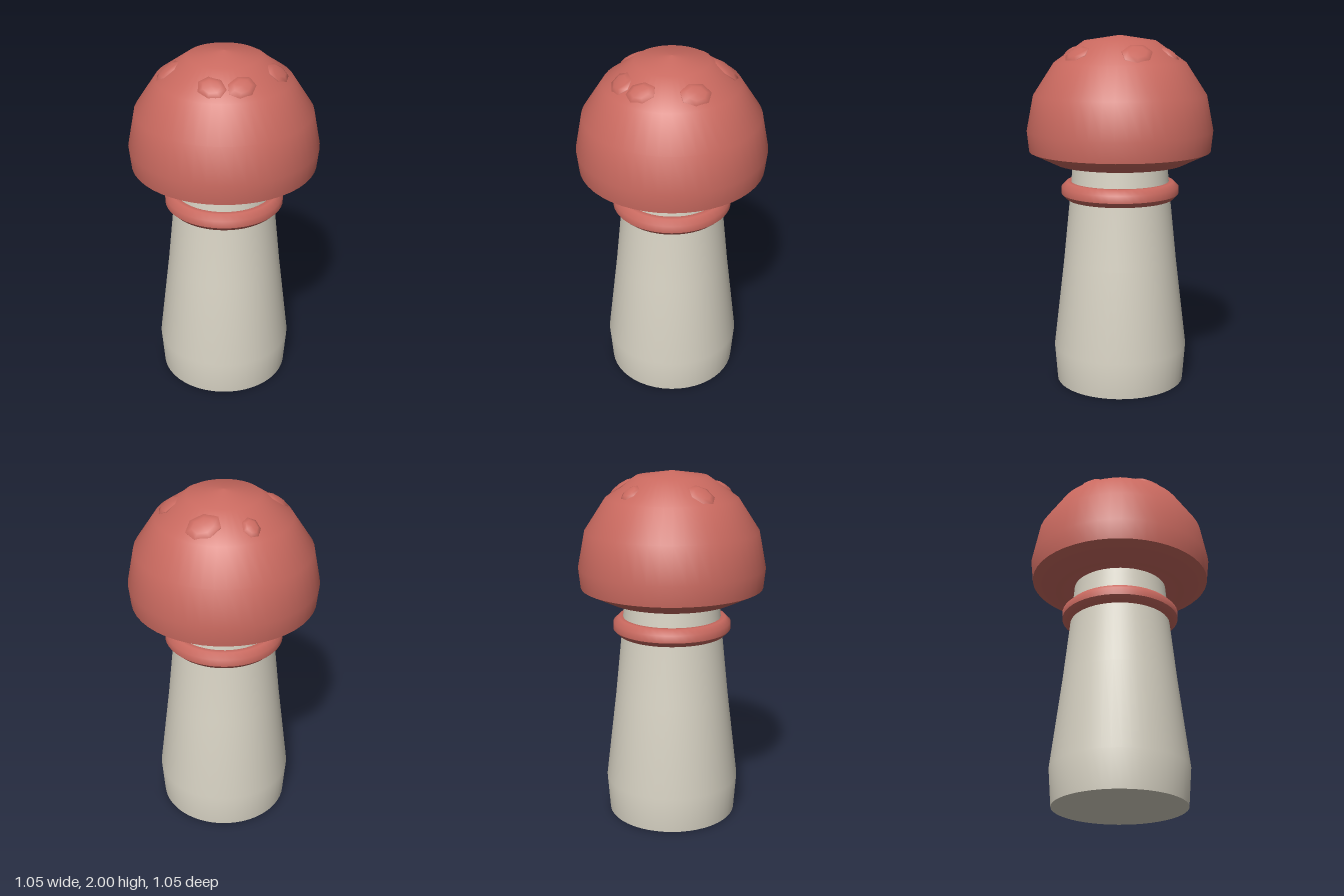
import * as THREE from 'three';

const SEGMENTS = 48;

// Profile points run from bottom to top as [radius, height]
function lathe(name, profile, material) {
  const points = profile.map(([r, y]) => new THREE.Vector2(r, y));
  const mesh = new THREE.Mesh(new THREE.LatheGeometry(points, SEGMENTS), material);
  mesh.name = name;
  return mesh;
}

export function createModel() {
  const model = new THREE.Group();
  model.name = 'mushroom';

  const red = new THREE.MeshStandardMaterial({ color: 0xc9695f });
  red.name = 'cap red';
  const cream = new THREE.MeshStandardMaterial({ color: 0xd8d3c4 });
  cream.name = 'stem cream';

  // Stem, swelling near the foot and narrowing into the cap
  model.add(lathe('stem', [
    [0.37, 0], [0.386, 0.21], [0.325, 0.72], [0.288, 1.08], [0.27, 1.28], [0.26, 1.4],
  ], cream));
  const foot = new THREE.Mesh(new THREE.CircleGeometry(0.37, SEGMENTS), cream);
  foot.name = 'stemFoot';
  foot.rotation.x = Math.PI / 2;
  model.add(foot);

  // Ring around the stem: an octagonal tube with a flat top
  const tube = [];
  for (let i = 0; i <= 8; i++) {
    const a = ((i - 0.5) / 8) * Math.PI * 2;
    tube.push([0.284 + 0.055 * Math.cos(a), 1.13 + 0.054 * Math.sin(a)]);
  }
  model.add(lathe('stemRing', tube, red));

  // Cap dome and its underside, split to keep the rim sharp
  const dome = [
    [0.515, 1.355], [0.527, 1.47], [0.488, 1.67], [0.37, 1.85], [0.2, 1.97], [0, 2],
  ];
  model.add(lathe('capDome', dome, red));
  model.add(lathe('capUnderside', [[0.25, 1.315], [0.37, 1.285], [0.515, 1.355]], red));

  // Low warts half sunk into the dome, as [x, z, radius]
  const warts = new THREE.Group();
  warts.name = 'capWarts';
  const wartGeometry = new THREE.SphereGeometry(1, 7, 5);
  const up = new THREE.Vector3(0, 1, 0);
  [
    [-0.28, -0.11, 0.085], [0.06, -0.29, 0.065], [0.25, -0.14, 0.1],
    [0.215, 0.2, 0.09], [-0.19, 0.225, 0.085], [-0.05, 0.29, 0.085],
  ].forEach(([x, z, size], i) => {
    // Height and slope of the dome at this distance from the axis
    const r = Math.hypot(x, z);
    const [r0, y0] = dome[4], [r1, y1] = dome[3];
    const y = y0 + ((r - r0) / (r1 - r0)) * (y1 - y0);
    const n = new THREE.Vector3((x / r) * (y0 - y1), r1 - r0, (z / r) * (y0 - y1)).normalize();
    const wart = new THREE.Mesh(wartGeometry, red);
    wart.name = 'wart' + (i + 1);
    wart.position.set(x, y, z).addScaledVector(n, -0.008);
    wart.quaternion.setFromUnitVectors(up, n);
    wart.rotateY(i * 1.3);
    wart.scale.set(size, 0.022, size * 0.8);
    warts.add(wart);
  });
  model.add(warts);

  return model;
}
